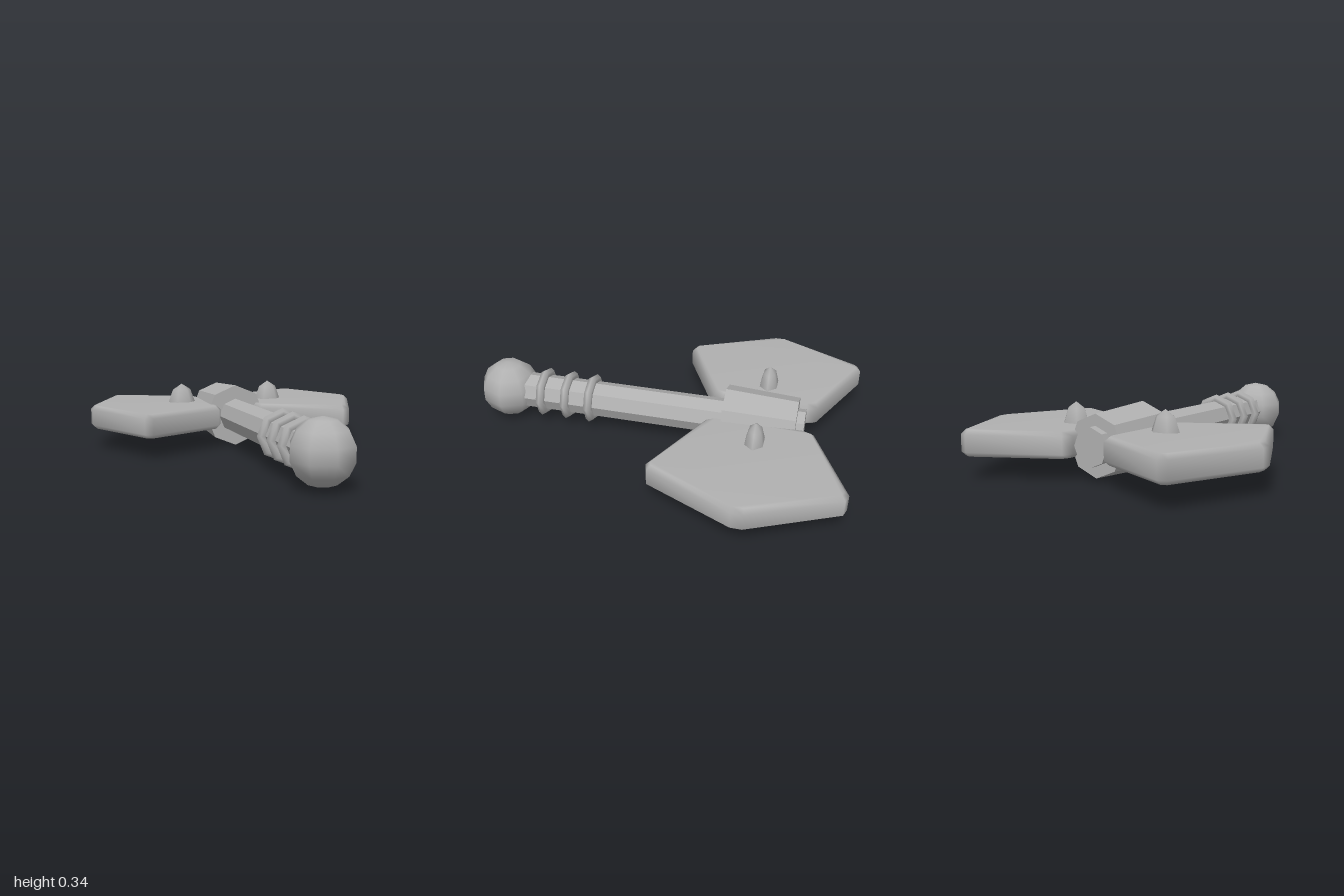
import * as THREE from 'three';
import { mergeVertices, toCreasedNormals } from 'three/addons/utils/BufferGeometryUtils.js';

const AXIS_Y = 0.17; // height of the shaft's centre line

export function createModel() {
  const model = new THREE.Group();
  model.name = 'doubleAxe';
  const grey = new THREE.MeshStandardMaterial({ color: 0xb0b0b0 });
  grey.name = 'plain grey';

  function add(name, geometry, x = 0, y = AXIS_Y, z = 0) {
    const mesh = new THREE.Mesh(geometry, grey);
    mesh.name = name;
    mesh.position.set(x, y, z);
    model.add(mesh);
    return mesh;
  }

  // Faceted octagonal prism lying along z
  function prism(frontRadius, backRadius, zBack, zFront) {
    const g = new THREE.CylinderGeometry(frontRadius, backRadius, zFront - zBack, 8);
    g.rotateX(Math.PI / 2);
    g.translate(0, 0, (zBack + zFront) / 2);
    return toCreasedNormals(g, 0.3);
  }

  // Handle and the tapered collar that holds the blades
  add('shaft', prism(0.094, 0.094, -0.75, 0.76));
  add('collar', prism(0.17, 0.15, -0.71, -0.34));

  // Grip rings
  for (const z of [0.375, 0.505, 0.64]) {
    const ring = new THREE.TorusGeometry(0.104, 0.027, 6, 8);
    ring.scale(1, 1, 0.85);
    add('gripRing', ring, 0, AXIS_Y, z);
  }

  // Pommel ball
  add('pommel', new THREE.SphereGeometry(0.157, 8, 7), 0, AXIS_Y, 0.847);

  // Blade outline as x, z with clipped corners
  const outline = [
    [0.1, -0.75], [0.12, -0.805], [0.535, -1.0], [0.578, -0.985], [0.776, -0.56],
    [0.776, -0.5], [0.578, -0.07], [0.535, -0.055], [0.12, -0.26], [0.1, -0.305],
  ];
  const bevel = 0.022;
  const thickness = 0.127;

  for (const side of [1, -1]) {
    const name = side > 0 ? 'left' : 'right';

    // Blade with softly shaded, bevelled rim
    const shape = new THREE.Shape(outline.map(([x, z]) => new THREE.Vector2(side * x, -z)));
    let blade = new THREE.ExtrudeGeometry(shape, {
      depth: thickness - 2 * bevel, bevelEnabled: true, bevelSegments: 1,
      bevelSize: bevel, bevelOffset: -bevel, bevelThickness: bevel,
    });
    blade.rotateX(-Math.PI / 2);
    blade.deleteAttribute('uv');
    blade.deleteAttribute('normal');
    blade = mergeVertices(blade, 1e-4);
    blade.computeVertexNormals();
    add(name + 'Blade', blade, 0, 0.109 + bevel, 0);

    // Domed six-sided stud, its rim sunk into the blade
    const stud = new THREE.SphereGeometry(1, 6, 2, 0, Math.PI * 2, 0, Math.PI * 0.4);
    stud.scale(0.087, 0.17, 0.058);
    add(name + 'Stud', stud, side * 0.262, AXIS_Y, -0.53);
  }

  return model;
}
